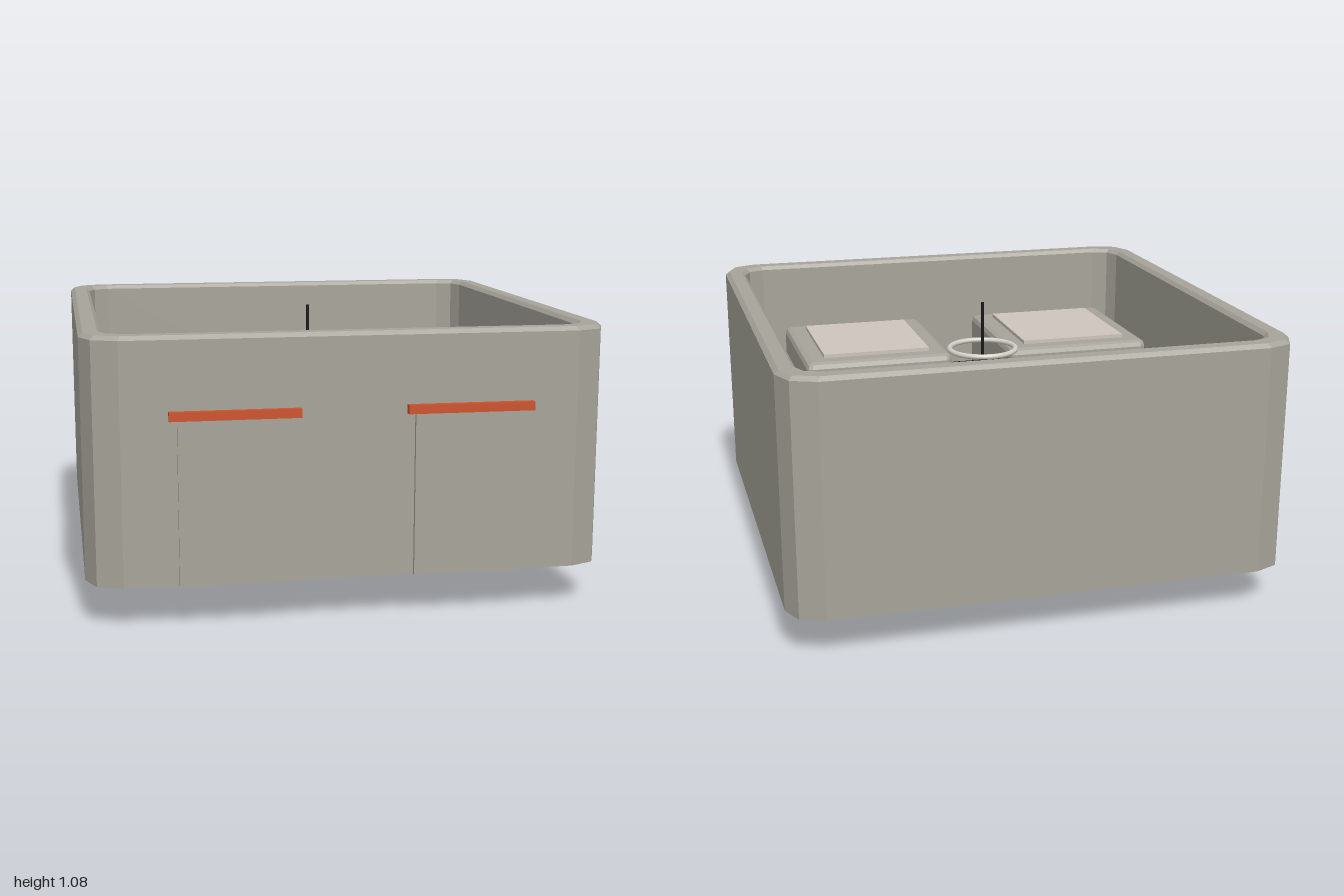
import * as THREE from 'three';
import { RoundedBoxGeometry } from 'three/addons/geometries/RoundedBoxGeometry.js';

const mat = (name, color, double) => {
  const m = new THREE.MeshStandardMaterial({ color });
  m.name = name;
  if (double) m.side = THREE.DoubleSide;
  return m;
};

// Rounded rectangle loop at height y, two segments per corner
function loop(hx, hz, r, y, cz) {
  const pts = [];
  const corners = [[1, 1], [-1, 1], [-1, -1], [1, -1]];
  corners.forEach(([sx, sz], q) => {
    for (let i = 0; i <= 2; i++) {
      const t = (q + i / 2) * Math.PI / 2;
      pts.push([sx * (hx - r) + r * Math.cos(t), y, cz + sz * (hz - r) + r * Math.sin(t)]);
    }
  });
  return pts;
}

// Faceted skin joining successive loops into a closed tube wall
function skin(loops) {
  const pos = [];
  loops.forEach((lo, k) => {
    const hi = loops[(k + 1) % loops.length];
    lo.forEach((a, i) => {
      const j = (i + 1) % lo.length;
      const b = lo[j], c = hi[j], d = hi[i];
      pos.push(...a, ...d, ...c, ...a, ...c, ...b);
    });
  });
  const g = new THREE.BufferGeometry();
  g.setAttribute('position', new THREE.Float32BufferAttribute(pos, 3));
  g.computeVertexNormals();
  return g;
}

// Box with flat chamfered edges
function chamferBox(w, h, d, r) {
  let g = new RoundedBoxGeometry(w, h, d, 1, r);
  if (g.index) g = g.toNonIndexed();
  g.computeVertexNormals();
  return g;
}

export function createModel() {
  const model = new THREE.Group();
  model.name = 'walledStation';

  const hullGrey = mat('hull grey', 0xa6a399);
  const floorDark = mat('floor dark', 0x222222);
  const black = mat('black', 0x151515);
  const blue = mat('panel blue', 0x353c54);
  const pale = mat('pad pale', 0xcdc4bc);
  const light = mat('light trim', 0xd4d0c8);
  const orange = mat('orange', 0xcc5229);

  const add = (name, geo, m, x = 0, y = 0, z = 0) => {
    const mesh = new THREE.Mesh(geo, m);
    mesh.name = name;
    mesh.position.set(x, y, z);
    model.add(mesh);
    return mesh;
  };
  // Box given by its minimum and maximum corners
  const box = (name, m, x0, x1, y0, y1, z0, z1, r = 0) => {
    const s = [x1 - x0, y1 - y0, z1 - z0];
    const g = r ? chamferBox(...s, r) : new THREE.BoxGeometry(...s);
    return add(name, g, m, (x0 + x1) / 2, (y0 + y1) / 2, (z0 + z1) / 2);
  };

  // Outer wall with bevelled rim
  const cz = -0.0125;
  add('hullWall', skin([
    loop(0.985, 0.985, 0.135, 0.16, cz),
    loop(0.985, 0.985, 0.135, 1.065, cz),
    loop(0.968, 0.968, 0.125, 1.08, cz),
    loop(0.915, 0.915, 0.1, 1.08, cz),
    loop(0.9, 0.9, 0.09, 1.065, cz),
    loop(0.9, 0.9, 0.09, 0.16, cz),
  ]), hullGrey);
  box('floor', floorDark, -0.905, 0.905, 0.162, 0.2, -0.918, 0.892);

  // Front doors with lintels, storage blocks with pads
  for (const [s, side] of [[1, 'left'], [-1, 'right']]) {
    const mid = s * 0.4375;
    box(side + 'Door', hullGrey, mid - 0.21, mid + 0.21, 0.16, 0.775, 0.95, 0.988);
    box(side + 'DoorLintel', orange, mid - 0.24, mid + 0.24, 0.775, 0.808, 0.95, 1.0);
    box(side + 'Block', hullGrey, mid - 0.31, mid + 0.31, 0.19, 0.85, -0.01, 0.66, 0.025);
    box(side + 'BlockPad', pale, mid - 0.226, mid + 0.226, 0.83, 0.865, 0.07, 0.58);
  }

  // Rear blue panel box
  box('bluePanel', blue, -0.757, 0.757, 0.19, 0.5, -0.808, -0.19, 0.02);

  // Central console with arm bar
  box('console', black, -0.115, 0.115, 0.19, 0.79, -0.12, 0.1, 0.015);
  box('consolePack', black, -0.11, 0.11, 0.5, 0.67, -0.15, -0.06, 0.01);
  box('lowBench', light, -0.335, 0.335, 0.2, 0.34, -0.15, -0.035, 0.025);
  add('armBar', new THREE.CylinderGeometry(0.01, 0.01, 0.68, 12), black, 0, 0.68, -0.02)
    .rotation.z = Math.PI / 2;
  for (const s of [-1, 1]) {
    add('armCollar', new THREE.CylinderGeometry(0.017, 0.017, 0.04, 12), orange, s * 0.14, 0.68, -0.02)
      .rotation.z = Math.PI / 2;
  }

  // Ring and mast above the console
  add('topRing', new THREE.TorusGeometry(0.14, 0.011, 10, 40), light, 0, 0.87, -0.02)
    .rotation.x = Math.PI / 2;
  add('mast', new THREE.CylinderGeometry(0.007, 0.007, 0.29, 10), black, 0, 0.925, -0.02);

  // Sensor ball hanging under the floor
  add('sensorBall', new THREE.SphereGeometry(0.095, 32, 20), light, 0, 0.145, -0.01);
  add('sensorRing', new THREE.TorusGeometry(0.043, 0.008, 10, 28), orange, 0, 0.047, -0.01)
    .rotation.x = Math.PI / 2;
  add('sensorLens', new THREE.CylinderGeometry(0.036, 0.036, 0.03, 24), black, 0, 0.038, -0.01);
  for (const s of [-1, 1]) {
    add('sideBead', new THREE.SphereGeometry(0.02, 16, 12), light, s * 0.125, 0.122, 0.02);
  }
  // Thin tilted guard hoop
  const hoop = add('guardHoop', new THREE.TorusGeometry(0.152, 0.005, 8, 40, Math.PI), orange, 0, 0.153, -0.015);
  hoop.rotation.set(-0.35, 0, Math.PI);
  hoop.rotation.order = 'XYZ';
  hoop.scale.y = 1.04;

  return model;
}
